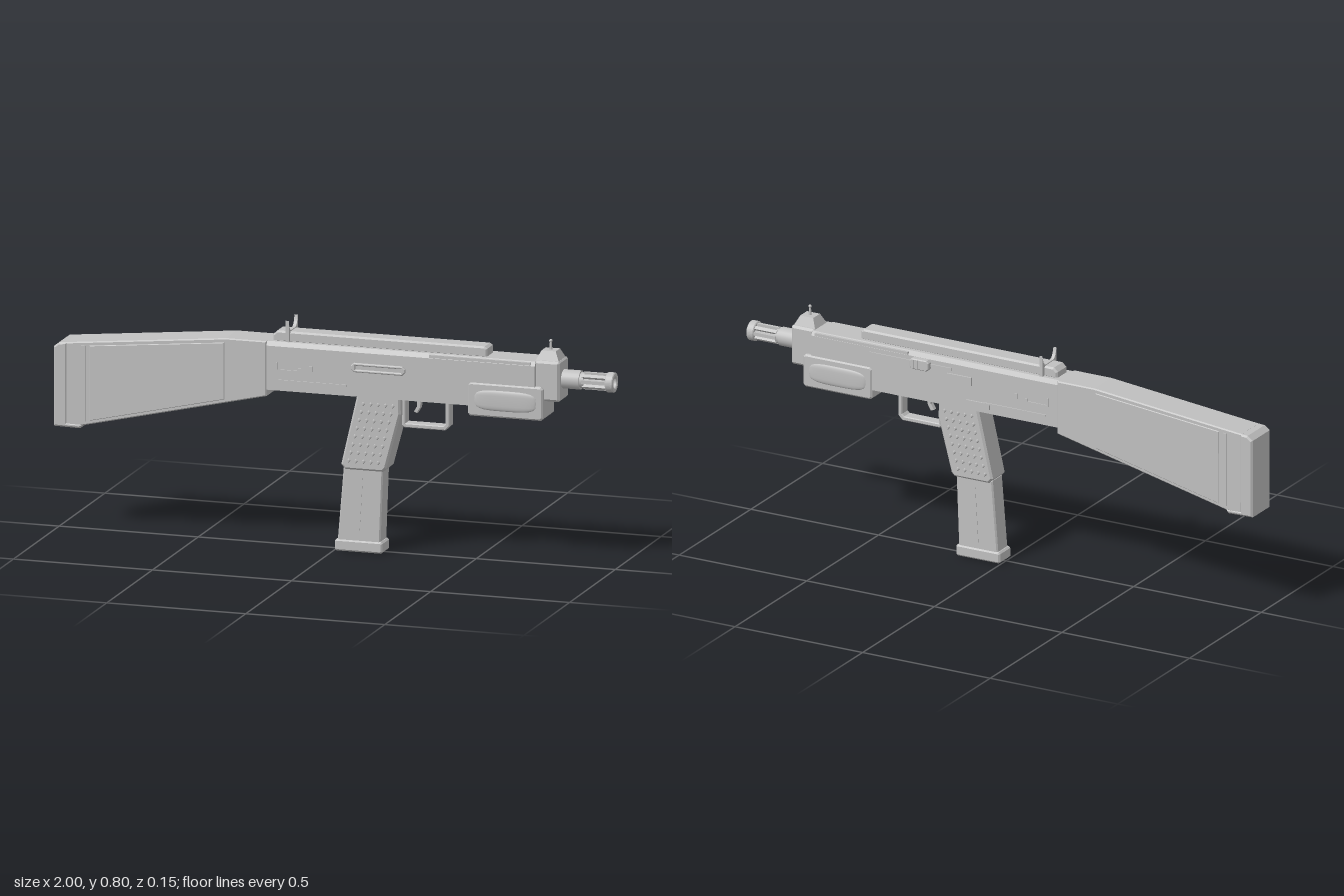
import * as THREE from 'three';

export function createModel() {
  const model = new THREE.Group();
  const grey = new THREE.MeshStandardMaterial({ color: 0xc0c0c0 });
  grey.name = 'matte grey';

  function add(name, geometry, x = 0, y = 0, z = 0, parent = model) {
    const mesh = new THREE.Mesh(geometry, grey);
    mesh.name = name;
    mesh.position.set(x, y, z);
    parent.add(mesh);
    return mesh;
  }
  // Side outline extruded across z, with a bevel kept inside the outline
  function slab(points, width, bevel = 0.006, holes = []) {
    const shape = new THREE.Shape(points.map(p => new THREE.Vector2(...p)));
    for (const h of holes) shape.holes.push(new THREE.Path(h.map(p => new THREE.Vector2(...p))));
    const g = new THREE.ExtrudeGeometry(shape, {
      depth: width - 2 * bevel, bevelEnabled: bevel > 0, bevelSize: bevel,
      bevelThickness: bevel, bevelOffset: -bevel, bevelSegments: 1, curveSegments: 8,
    });
    return g.translate(0, 0, bevel - width / 2);
  }
  const rect = (x0, x1, y0, y1, c = 0) => c
    ? [[x0 + c, y0], [x1 - c, y0], [x1, y0 + c], [x1, y1 - c], [x1 - c, y1], [x0 + c, y1], [x0, y1 - c], [x0, y0 + c]]
    : [[x0, y0], [x1, y0], [x1, y1], [x0, y1]];
  // Flat plate standing on one side of the body
  function plate(name, x0, x1, y0, y1, z, thick = 0.006) {
    add(name, new THREE.BoxGeometry(x1 - x0, y1 - y0, thick), (x0 + x1) / 2, (y0 + y1) / 2, z);
  }
  const bothSides = f => [1, -1].forEach(f);

  // Shoulder stock
  add('stock', slab([[-0.957, 0.375], [-0.9, 0.378], [-0.235, 0.532], [-0.235, 0.725], [-0.38, 0.725], [-0.957, 0.667]], 0.124, 0.004));
  add('buttPad', slab([[-1, 0.37], [-0.905, 0.368], [-0.895, 0.382], [-0.952, 0.385], [-0.952, 0.667], [-0.98, 0.665], [-1, 0.65]], 0.13, 0.006));
  bothSides(s => {
    const panel = slab([[-0.87, 0.398], [-0.385, 0.51], [-0.385, 0.71], [-0.87, 0.662]], 0.006, 0.002);
    add('stockPanel', panel, 0, 0, s * 0.062);
    plate('stockRib', -0.9, -0.885, 0.395, 0.66, s * 0.063);
  });

  // Receiver with chamfered upper edges, its cross-section swept along x
  const section = [[-0.06, 0.555], [0.06, 0.555], [0.06, 0.71], [0.05, 0.725], [-0.05, 0.725], [-0.06, 0.71]];
  const receiver = new THREE.ExtrudeGeometry(
    new THREE.Shape(section.map(p => new THREE.Vector2(...p))), { depth: 0.965, bevelEnabled: false });
  add('receiver', receiver.rotateY(Math.PI / 2), -0.235);
  add('topRail', slab([[-0.22, 0.72], [0.55, 0.72], [0.55, 0.752], [0.54, 0.759], [-0.205, 0.759], [-0.22, 0.745]], 0.07, 0.006));
  bothSides(s => {
    plate('upperRib', 0.35, 0.715, 0.712, 0.722, s * 0.057, 0.012);
    plate('lowerRib', -0.19, 0.055, 0.587, 0.594, s * 0.061);
    plate('selectorBase', -0.2, -0.11, 0.624, 0.63, s * 0.061);
    plate('selectorStop', -0.2, -0.194, 0.624, 0.655, s * 0.061);
    plate('selectorTip', -0.12, -0.11, 0.624, 0.64, s * 0.061);
    plate('receiverPin', -0.08, -0.068, 0.63, 0.65, s * 0.061);
  });

  // Raised rounded frame around the long slot
  add('slotFrame', slab(rect(0.07, 0.265, 0.642, 0.674, 0.01), 0.016, 0.003,
    [rect(0.085, 0.25, 0.651, 0.665)]), 0, 0, 0.06);
  // Cocking knob and cover on the far side
  plate('portCover', 0.1, 0.195, 0.645, 0.675, -0.061, 0.01);
  plate('slideTrack', 0.18, 0.5, 0.685, 0.695, -0.061);
  plate('catchPlate', 0.03, 0.12, 0.57, 0.592, -0.061, 0.009);
  add('cockingKnob', slab(rect(0.26, 0.335, 0.671, 0.709, 0.008), 0.024, 0.003), 0, 0, -0.068);
  for (let i = 0; i < 4; i++) plate('knobRidge', 0.27 + i * 0.016, 0.276 + i * 0.016, 0.674, 0.706, -0.08, 0.004);

  // Handguard with swollen side pads
  add('handguard', slab(rect(0.49, 0.76, 0.52, 0.638, 0.008), 0.13, 0.006));
  bothSides(s => {
    const pad = new THREE.SphereGeometry(1, 24, 12);
    // Square off the sphere into a cushion
    const p = pad.attributes.position;
    for (let i = 0; i < p.count; i++) {
      const sq = v => Math.sign(v) * Math.pow(Math.abs(v), 0.55);
      p.setXYZ(i, sq(p.getX(i)) * 0.112, sq(p.getY(i)) * 0.036, p.getZ(i) * 0.008);
    }
    pad.computeVertexNormals();
    add('handguardPad', pad, 0.625, 0.58, s * 0.064);
  });

  // Front block and barrel
  add('frontBlock', slab(rect(0.725, 0.815, 0.587, 0.728, 0.005), 0.102, 0.008));
  const lathe = (pts, seg = 24) => new THREE.LatheGeometry(pts.map(p => new THREE.Vector2(...p)), seg).rotateZ(-Math.PI / 2);
  const ringed = (name, r, x0, x1) => add(name, lathe(
    [[0, x0], [r, x0], [r, x0], [r, x1], [r, x1], [0, x1]]), 0, 0.66, 0);
  ringed('barrelSleeve', 0.033, 0.81, 0.878);
  ringed('barrelCore', 0.02, 0.87, 0.975);
  ringed('muzzleCollar', 0.027, 0.878, 0.892);
  const ring = new THREE.Shape().absarc(0, 0, 0.035, 0, Math.PI * 2);
  ring.holes.push(new THREE.Path().absarc(0, 0, 0.019, 0, Math.PI * 2, true));
  add('muzzleRing', new THREE.ExtrudeGeometry(ring, {
    depth: 0.022, bevelSize: 0.003, bevelThickness: 0.003, bevelOffset: -0.003, bevelSegments: 1, curveSegments: 20,
  }).rotateY(Math.PI / 2), 0.975, 0.66, 0);
  for (let i = 0; i < 8; i++) {
    const a = i * Math.PI / 4;
    const bar = add('muzzleBar', new THREE.BoxGeometry(0.09, 0.012, 0.012), 0.932, 0.66 + Math.cos(a) * 0.024, Math.sin(a) * 0.024);
    bar.rotation.x = a;
  }

  // Front sight: tapered base, post and bead
  const base = new THREE.BoxGeometry(0.085, 0.035, 0.08);
  const bp = base.attributes.position;
  for (let i = 0; i < bp.count; i++) if (bp.getY(i) > 0) {
    bp.setX(i, bp.getX(i) * 0.6);
    bp.setZ(i, bp.getZ(i) * 0.6);
  }
  base.computeVertexNormals();
  add('frontSightBase', base, 0.768, 0.742, 0);
  add('frontSightPost', new THREE.CylinderGeometry(0.003, 0.006, 0.035, 10), 0.768, 0.773, 0);
  add('frontSightBead', new THREE.SphereGeometry(0.006, 12, 8), 0.768, 0.79, 0);

  // Rear sight: curved U-shaped fork
  const fork = new THREE.Shape();
  fork.moveTo(-0.049, 0.715);
  fork.lineTo(0.049, 0.715);
  fork.lineTo(0.049, 0.8);
  fork.quadraticCurveTo(0.042, 0.765, 0.025, 0.762);
  fork.lineTo(-0.025, 0.762);
  fork.quadraticCurveTo(-0.042, 0.765, -0.049, 0.8);
  add('rearSight', new THREE.ExtrudeGeometry(fork, { depth: 0.012, bevelEnabled: false, curveSegments: 8 })
    .rotateY(Math.PI / 2), -0.17);

  // Grip with rows of studs on both sides
  add('grip', slab([[0.086, 0.56], [0.24, 0.56], [0.242, 0.5], [0.19, 0.305], [0.178, 0.293], [0.042, 0.293], [0.028, 0.31]].reverse(), 0.094, 0.007));
  const stud = new THREE.CylinderGeometry(0.005, 0.009, 0.01, 4).rotateX(Math.PI / 2);
  bothSides(s => {
    for (let row = 0; row < 8; row++) for (let col = 0; col < 5; col++) {
      const y = 0.325 + row * 0.029;
      const x = 0.056 + (y - 0.325) * 0.26 + col * 0.0265;
      const m = add('gripStud', stud, x, y, s * 0.049);
      if (s < 0) m.rotation.y = Math.PI;
    }
  });

  // Magazine and its floor plate
  add('magazine', slab([[0.012, 0.035], [0.166, 0.035], [0.176, 0.3], [0.034, 0.3]], 0.072, 0.005));
  bothSides(s => {
    const rib = add('magazineSeam', new THREE.BoxGeometry(0.004, 0.2, 0.003), 0.096, 0.165, s * 0.036);
    rib.rotation.z = -0.06;
  });
  add('magazineFloor', slab(rect(0.003, 0.175, 0.003, 0.044, 0.006), 0.082, 0.006));

  // Trigger and its guard
  add('triggerGuard', slab(
    [[0.24, 0.56], [0.24, 0.458], [0.248, 0.45], [0.395, 0.45], [0.41, 0.465], [0.41, 0.56]], 0.044, 0.003,
    [[[0.252, 0.545], [0.252, 0.465], [0.388, 0.465], [0.396, 0.473], [0.396, 0.545]]]));
  add('trigger', slab([[0.278, 0.505], [0.29, 0.5], [0.302, 0.52], [0.308, 0.56], [0.288, 0.56], [0.29, 0.525]], 0.02, 0.002));

  return model;
}
